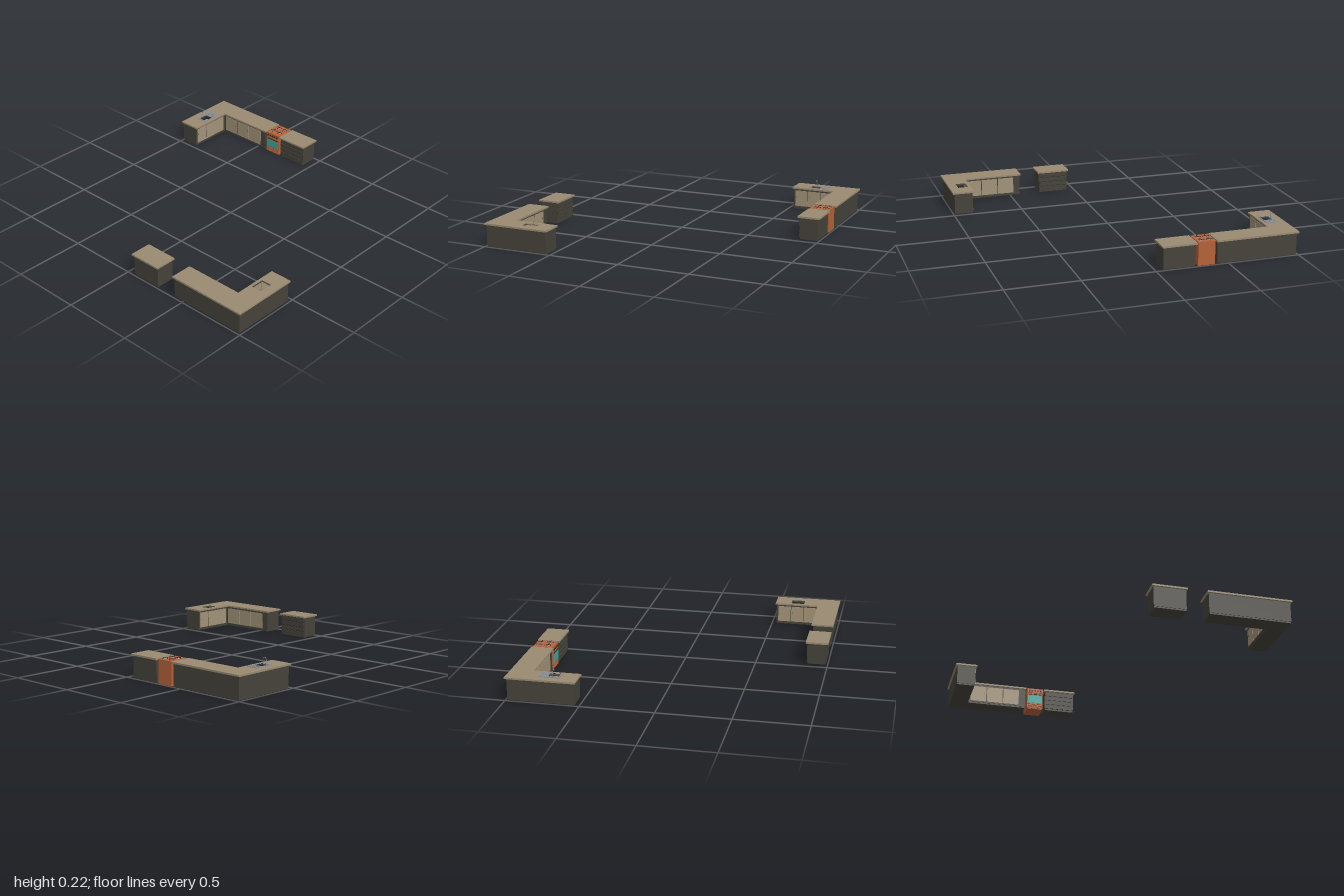
import * as THREE from 'three';

const mat = (color) => new THREE.MeshStandardMaterial({ color });
const WORKTOP = mat(0x9a8b72), CABINET = mat(0x45433a), DOOR = mat(0xa39479), DARK = mat(0x2b2a26);
const ORANGE = mat(0xb5623a), TEAL = mat(0x3fa8a0), STEEL = mat(0x878c92);

function add(parent, name, geometry, material) {
  const mesh = new THREE.Mesh(geometry, material);
  mesh.name = name;
  parent.add(mesh);
  return mesh;
}

// Box given by its limits on each axis
function box(parent, name, material, [x0, x1], [y0, y1], [z0, z1]) {
  const mesh = add(parent, name, new THREE.BoxGeometry(x1 - x0, y1 - y0, z1 - z0), material);
  mesh.position.set((x0 + x1) / 2, (y0 + y1) / 2, (z0 + z1) / 2);
  return mesh;
}

const toPoints = (pts) => pts.map(([x, z]) => new THREE.Vector2(x, -z));

// Floor-plan outline (x, z) raised from y0 to y1, with an optional hole
function slab(parent, name, material, outline, y0, y1, hole) {
  const shape = new THREE.Shape(toPoints(outline));
  if (hole) shape.holes.push(new THREE.Path(toPoints(hole)));
  const geometry = new THREE.ExtrudeGeometry(shape, { depth: y1 - y0, bevelEnabled: false });
  geometry.rotateX(-Math.PI / 2).translate(0, y0, 0);
  return add(parent, name, geometry, material);
}

const rect = (x0, x1, z0, z1) => [[x0, z0], [x1, z0], [x1, z1], [x0, z1]];

// L outline: back left corner (x0, z0), right end x1, front end z1, inner corner (xi, zi)
const ell = (x0, x1, xi, z0, zi, z1) => [[x0, z0], [x1, z0], [x1, zi], [xi, zi], [xi, z1], [x0, z1]];

// Corner counter and drawer unit, in the back left position
function createCounters() {
  const g = new THREE.Group();
  const hole = rect(-0.938, -0.865, -0.738, -0.642);
  const corner = new THREE.Group();
  corner.name = 'cornerCounter';
  g.add(corner);
  slab(corner, 'plinth', CABINET, ell(-0.985, -0.428, -0.858, -0.985, -0.858, -0.535), 0, 0.01);
  slab(corner, 'cabinet', CABINET, ell(-0.988, -0.425, -0.855, -0.988, -0.855, -0.532), 0.01, 0.151, hole);
  slab(corner, 'worktop', WORKTOP, ell(-1, -0.418, -0.843, -1, -0.843, -0.524), 0.151, 0.163, hole);
  box(corner, 'sinkLedge', DOOR, [-0.938, -0.9], [0.09, 0.1], [-0.738, -0.642]);

  // Doors of the long run, then of the short run
  for (let i = 0; i < 3; i++) {
    const x = -0.841 + i * 0.124;
    box(corner, 'door', DOOR, [x, x + 0.118], [0.02, 0.138], [-0.857, -0.852]);
    box(corner, 'doorHandle', DARK, [x + 0.106, x + 0.11], [0.085, 0.097], [-0.857, -0.852]);
    const z = -0.835 + i * 0.098;
    box(corner, 'door', DOOR, [-0.857, -0.852], [0.02, 0.138], [z, z + 0.094]);
    box(corner, 'doorHandle', DARK, [-0.857, -0.852], [0.085, 0.097], [z + 0.083, z + 0.087]);
  }

  const unit = new THREE.Group();
  unit.name = 'drawerUnit';
  g.add(unit);
  slab(unit, 'plinth', CABINET, rect(-0.27, -0.056, -0.985, -0.86), 0, 0.01);
  slab(unit, 'cabinet', CABINET, rect(-0.273, -0.053, -0.988, -0.86), 0.01, 0.151);
  slab(unit, 'worktop', WORKTOP, rect(-0.282, -0.043, -1, -0.843), 0.151, 0.163);
  box(unit, 'drawerGaps', DARK, [-0.271, -0.055], [0.012, 0.149], [-0.861, -0.858]);
  for (let i = 0; i < 4; i++) {
    const y = 0.014 + i * 0.034;
    box(unit, 'drawerFront', CABINET, [-0.271, -0.055], [y, y + 0.029], [-0.86, -0.853]);
  }
  return g;
}

function createSink() {
  const g = new THREE.Group();
  g.name = 'sink';
  const basin = rect(-0.934, -0.872, -0.726, -0.652);
  slab(g, 'sinkPlate', STEEL, rect(-0.947, -0.866, -0.786, -0.642), 0.162, 0.166, basin);
  slab(g, 'basinWall', STEEL, rect(-0.937, -0.867, -0.736, -0.645), 0.126, 0.163, basin);
  box(g, 'basinFloor', STEEL, [-0.937, -0.867], [0.122, 0.126], [-0.736, -0.645]);
  for (let i = 0; i < 5; i++) {
    const z = -0.777 + i * 0.009;
    box(g, 'drainRib', STEEL, [-0.94, -0.874], [0.166, 0.167], [z, z + 0.003]);
  }
  // Hooked tap
  const path = new THREE.CatmullRomCurve3([
    [-0.942, 0.165], [-0.94, 0.185], [-0.937, 0.204], [-0.928, 0.214], [-0.916, 0.213], [-0.91, 0.203],
  ].map(([x, y]) => new THREE.Vector3(x, y, -0.686)));
  add(g, 'tap', new THREE.TubeGeometry(path, 20, 0.002, 8), STEEL);
  add(g, 'tapBase', new THREE.CylinderGeometry(0.004, 0.005, 0.008, 12), STEEL).position.set(-0.942, 0.169, -0.686);
  return g;
}

function createCooker() {
  const g = new THREE.Group();
  g.name = 'cooker';
  const X = [-0.409, -0.291];
  box(g, 'cookerBody', ORANGE, X, [0, 0.157], [-0.99, -0.858]);
  box(g, 'hob', ORANGE, [-0.411, -0.289], [0.157, 0.162], [-0.992, -0.85]);
  box(g, 'controlPanel', ORANGE, X, [0.128, 0.157], [-0.858, -0.85]);
  box(g, 'ovenDoor', ORANGE, X, [0.036, 0.124], [-0.858, -0.851]);
  box(g, 'ovenWindow', TEAL, [-0.404, -0.296], [0.046, 0.104], [-0.852, -0.849]);
  box(g, 'ovenHandle', DARK, [-0.4, -0.3], [0.113, 0.117], [-0.851, -0.845]);
  for (let i = 0; i < 3; i++) {
    const y = 0.003 + i * 0.011;
    box(g, 'lowerPanel', ORANGE, X, [y, y + 0.008], [-0.858, -0.851]);
  }
  for (let i = 0; i < 5; i++) {
    const knob = add(g, 'knob', new THREE.CylinderGeometry(0.006, 0.006, 0.007, 14), DARK);
    knob.rotation.x = Math.PI / 2;
    knob.position.set(-0.394 + i * 0.022, 0.143, -0.847);
  }
  // Four burners, each under a crossed pan support
  for (const x of [-0.378, -0.322]) {
    for (const z of [-0.957, -0.897]) {
      add(g, 'burner', new THREE.CylinderGeometry(0.01, 0.012, 0.004, 18), STEEL).position.set(x, 0.164, z);
      add(g, 'burnerCap', new THREE.CylinderGeometry(0.006, 0.006, 0.002, 18), DARK).position.set(x, 0.167, z);
      box(g, 'panSupport', DARK, [x - 0.023, x + 0.023], [0.167, 0.169], [z - 0.001, z + 0.001]);
      box(g, 'panSupport', DARK, [x - 0.001, x + 0.001], [0.167, 0.169], [z - 0.023, z + 0.023]);
      for (const s of [-1, 1]) {
        box(g, 'supportFoot', DARK, [x + s * 0.022 - 0.001, x + s * 0.022 + 0.001], [0.162, 0.168], [z - 0.001, z + 0.001]);
        box(g, 'supportFoot', DARK, [x - 0.001, x + 0.001], [0.162, 0.168], [z + s * 0.022 - 0.001, z + s * 0.022 + 0.001]);
      }
    }
  }
  return g;
}

export function createModel() {
  const model = new THREE.Group();
  model.name = 'kitchenCounters';

  // Fitted set at the back left
  const fitted = createCounters();
  fitted.name = 'fittedCounters';
  fitted.add(createSink(), createCooker());

  // The same counters turned half round, without fittings
  const bare = createCounters();
  bare.name = 'bareCounters';
  bare.rotation.y = Math.PI;

  model.add(fitted, bare);
  return model;
}
